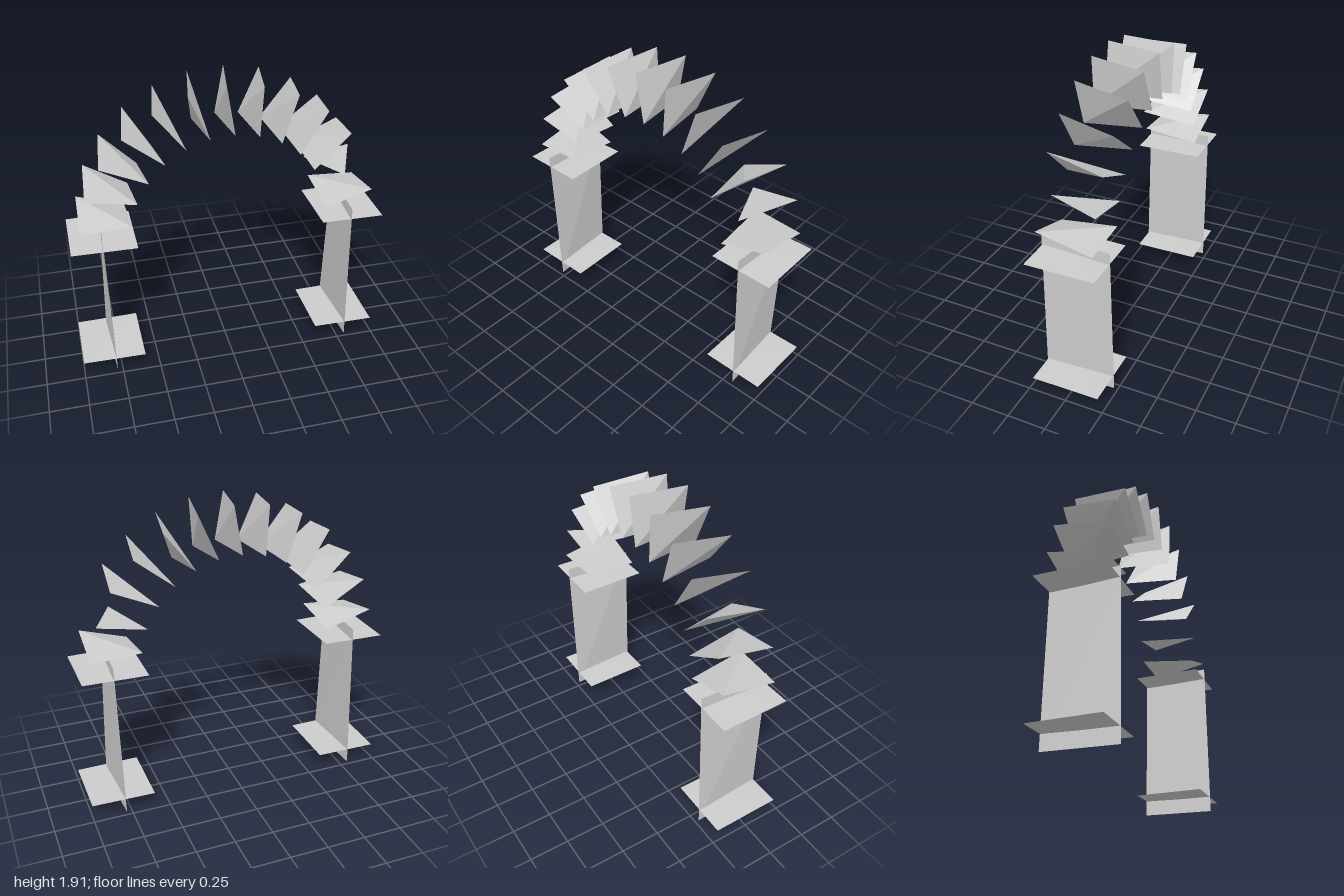
import * as THREE from 'three';

const material = new THREE.MeshStandardMaterial({
  color: 0xcccccc, flatShading: true, side: THREE.DoubleSide,
});

function facetMesh(name, points, faces) {
  const geometry = new THREE.BufferGeometry();
  const positions = faces.flat().flatMap((i) => points[i]);
  geometry.setAttribute('position', new THREE.Float32BufferAttribute(positions, 3));
  geometry.computeVertexNormals();
  const mesh = new THREE.Mesh(geometry, material);
  mesh.name = name;
  return mesh;
}

// Four-sided sliver joining alternate corners of a box that may taper in width
function sliver(name, bottomWidth, topWidth, height, depth) {
  const b = bottomWidth / 2, t = topWidth / 2, h = height / 2, d = depth / 2;
  return facetMesh(name,
    [[-b, -h, -d], [t, h, -d], [b, -h, d], [-t, h, d]],
    [[0, 1, 2], [0, 2, 3], [0, 3, 1], [1, 3, 2]]);
}

// Single triangle: the back diagonal of an arch stone closed to a point at the front
function shard(name, bottomWidth, topWidth, height, depth) {
  const h = height / 2, d = depth / 2;
  return facetMesh(name,
    [[-bottomWidth / 2, -h, -d], [topWidth / 2, h, -d], [0, 0, d]], [[0, 1, 2]]);
}

export function createModel() {
  const group = new THREE.Group();

  // Thin pillars, each crossed by a base plate and a capital plate
  for (const [side, label] of [[1, 'left'], [-1, 'right']]) {
    const pillar = new THREE.Group();
    pillar.name = `${label}Pillar`;
    pillar.position.x = side * 0.797;

    const shaft = sliver('shaft', 0.026, 0.026, 1.02, 0.45);
    shaft.position.y = 0.51;
    pillar.add(shaft);

    for (const [name, y] of [['basePlate', 0.097], ['capitalPlate', 0.946]]) {
      const plate = sliver(name, 0.406, 0.406, 0.005, 0.44);
      plate.position.y = y;
      pillar.add(plate);
    }
    group.add(pillar);
  }

  // Half ring of wedge stones, all pointing at the arch centre
  const arch = new THREE.Group();
  arch.name = 'arch';
  arch.position.y = 0.98;
  const count = 13, inner = 0.625, outer = 0.935;
  const radius = (inner + outer) / 2;
  for (let i = 0; i < count; i++) {
    const angle = (i + 0.5) * Math.PI / count;
    const build = i === 1 ? shard : sliver;
    const stone = build(`archStone${i + 1}`, 0.045, 0.068, outer - inner, 0.36);
    stone.position.set(radius * Math.cos(angle), radius * Math.sin(angle), 0);
    stone.rotation.z = angle - Math.PI / 2;
    arch.add(stone);
  }
  group.add(arch);

  return group;
}
